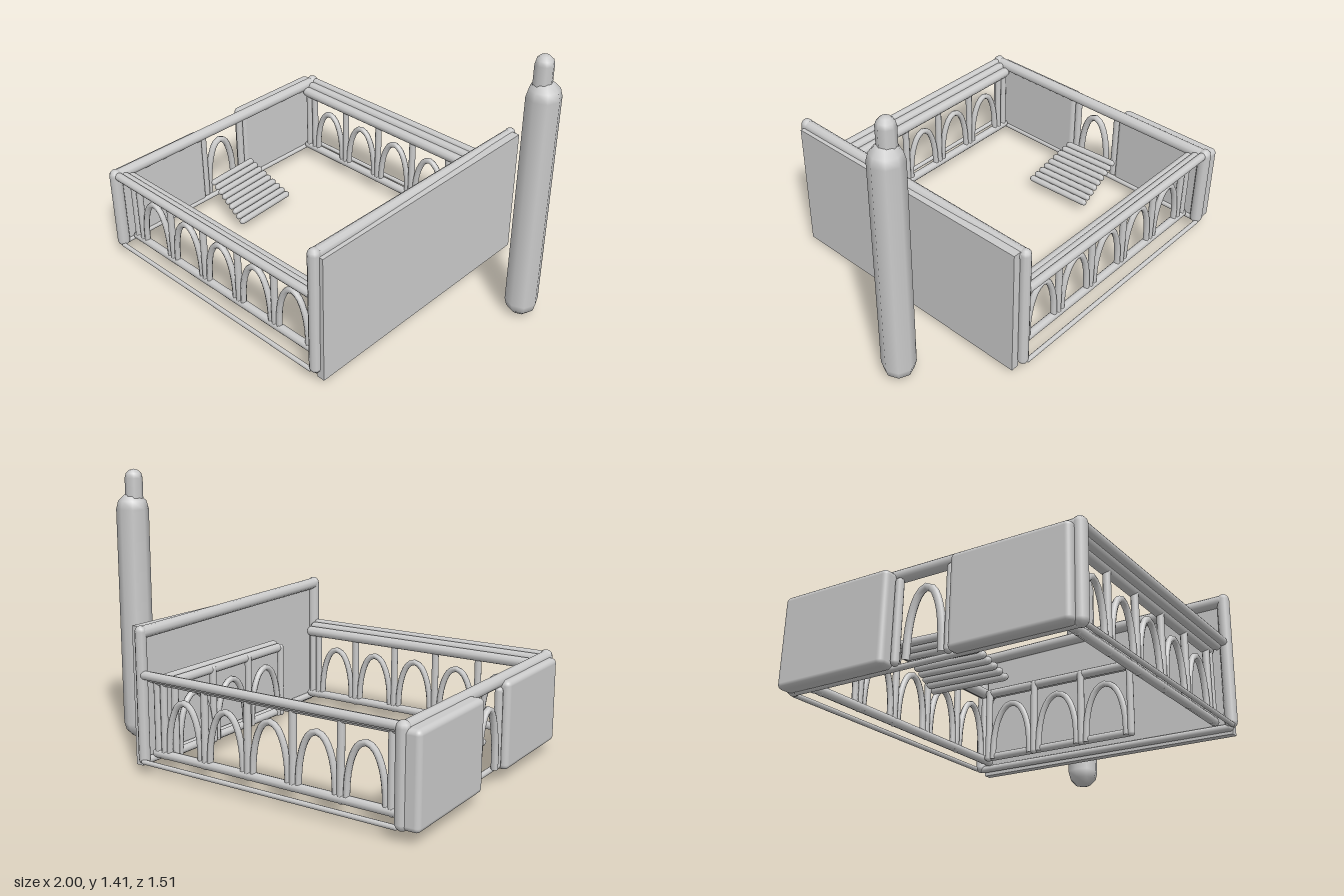
import * as THREE from 'three';
import { RoundedBoxGeometry } from 'three/addons/geometries/RoundedBoxGeometry.js';

const material = new THREE.MeshStandardMaterial({ color: 0xcccccc });
const UP = new THREE.Vector3(0, 1, 0);

function add(parent, name, geometry, position = [0, 0, 0]) {
  const mesh = new THREE.Mesh(geometry, material);
  mesh.name = name;
  mesh.position.set(...position);
  parent.add(mesh);
  return mesh;
}

// Round-ended rod whose tips touch points a and b
function rod(parent, name, a, b, r, sides = 10) {
  const p = new THREE.Vector3(...a), q = new THREE.Vector3(...b);
  const dir = q.clone().sub(p), length = dir.length();
  const mid = p.add(q).multiplyScalar(0.5);
  const mesh = add(parent, name, new THREE.CapsuleGeometry(r, Math.max(length - 2 * r, 0.001), 3, sides), mid.toArray());
  mesh.quaternion.setFromUnitVectors(UP, dir.normalize());
  return mesh;
}

// Bent tube arch in the local xy plane, standing on y = 0.06
function arch(parent, x, halfWidth, height, z = 0, r = 0.016) {
  const points = [];
  for (let i = 0; i <= 8; i++) {
    const t = Math.PI * (i / 8);
    points.push(new THREE.Vector3(x - Math.cos(t) * halfWidth, 0.07 + Math.sin(t) ** 0.85 * (height - 0.07), z));
  }
  add(parent, 'arch', new THREE.TubeGeometry(new THREE.CatmullRomCurve3(points), 24, r, 7));
}

// Row of arches divided by balusters, between bottom and top rails
function arcade(name, x0, x1, count) {
  const g = new THREE.Group();
  g.name = name;
  const pitch = (x1 - x0) / count;
  for (let i = 0; i <= count; i++) {
    const x = x0 + i * pitch;
    rod(g, 'baluster', [x, 0.06, 0], [x, 0.46, 0], 0.018);
    if (i < count) arch(g, x + pitch / 2, pitch / 2 - 0.027, 0.36, 0);
  }
  return g;
}

export function createModel() {
  const model = new THREE.Group();
  model.name = 'balconyEnclosure';

  // Front and back railings
  for (const s of [1, -1]) {
    const side = s > 0 ? 'front' : 'back';
    const rail = arcade(side + 'Railing', -0.82, 0.435, 5);
    rail.position.z = s * 0.65;
    model.add(rail);
    const rails = [
      ['topRailInner', 0.45, 0.645, 0.028],
      ['topRailMiddle', 0.47, 0.685, 0.026],
      ['topRailOuter', 0.485, 0.72, 0.022],
      ['bottomRail', 0.085, 0.65, 0.022],
      ['groundRod', 0.06, 0.735, 0.012],
    ];
    for (const [name, y, z, r] of rails)
      rod(model, name, [-0.9, y, s * z], [0.51, y, s * z], r);
    for (const x of [-0.865, 0.475])
      rod(model, 'endBaluster', [x, 0.06, s * 0.65], [x, 0.47, s * 0.65], 0.018);
    rod(model, 'leftCornerPost', [-0.91, 0.045, s * 0.72], [-0.91, 0.515, s * 0.72], 0.033);
  }
  rod(model, 'tallFrontPost', [0.52, 0.05, 0.72], [0.525, 0.75, 0.725], 0.031);
  rod(model, 'tallBackPost', [0.51, 0.04, -0.715], [0.51, 0.72, -0.715], 0.028);

  // Solid wall with its top and bottom rails
  add(model, 'wallPanel', new THREE.BoxGeometry(0.042, 0.685, 1.425), [0.552, 0.368, 0.008]);
  rod(model, 'wallTopRail', [0.523, 0.715, 0.74], [0.51, 0.685, -0.735], 0.03);
  rod(model, 'wallBottomRod', [0.52, 0.055, 0.73], [0.51, 0.055, -0.72], 0.018);

  // Short arcade inside the wall
  const inner = arcade('innerArcade', -0.6, 0.245, 3);
  inner.rotation.y = -Math.PI / 2;
  inner.position.x = 0.41;
  model.add(inner);
  rod(model, 'innerTopRail', [0.42, 0.44, -0.63], [0.42, 0.44, 0.26], 0.023);
  rod(model, 'innerTopRail', [0.458, 0.45, -0.63], [0.458, 0.45, 0.27], 0.023);
  rod(model, 'innerBottomRail', [0.42, 0.085, -0.63], [0.42, 0.085, 0.25], 0.02);

  // Left side rail and plates either side of the doorway
  rod(model, 'leftTopRail', [-0.91, 0.478, -0.745], [-0.91, 0.478, 0.745], 0.031);
  rod(model, 'leftBottomRod', [-0.91, 0.06, -0.73], [-0.91, 0.06, 0.73], 0.014);
  add(model, 'backLeftPlate', new RoundedBoxGeometry(0.09, 0.435, 0.58, 3, 0.025), [-0.955, 0.27, -0.452]);
  add(model, 'frontLeftPlate', new RoundedBoxGeometry(0.07, 0.43, 0.57, 3, 0.025), [-0.94, 0.268, 0.427]);

  // Doorway
  const door = new THREE.Group();
  door.name = 'doorway';
  arch(door, 0.005, 0.09, 0.38, 0, 0.018);
  door.rotation.y = -Math.PI / 2;
  door.position.x = -0.935;
  model.add(door);
  for (const z of [-0.145, 0.125])
    rod(model, 'doorPost', [-0.93, 0.06, z], [-0.93, 0.46, z], 0.02);

  // Log stairs descending into the enclosure
  const steps = 9;
  for (let i = 0; i < steps; i++) {
    const t = i / (steps - 1);
    const x = -0.865 + 0.27 * t, y = 0.18 - 0.115 * t;
    rod(model, 'stairLog', [x - 0.01, y, -0.185 - 0.02 * t], [x + 0.01, y, 0.14 + 0.04 * t], 0.018, 7);
  }

  // Free-standing pillar with a narrow tip
  rod(model, 'pillar', [0.92, 0, -0.32], [0.92, 1.29, -0.32], 0.082, 8);
  rod(model, 'pillarTip', [0.908, 1.15, -0.317], [0.908, 1.41, -0.317], 0.045, 8);
  return model;
}
